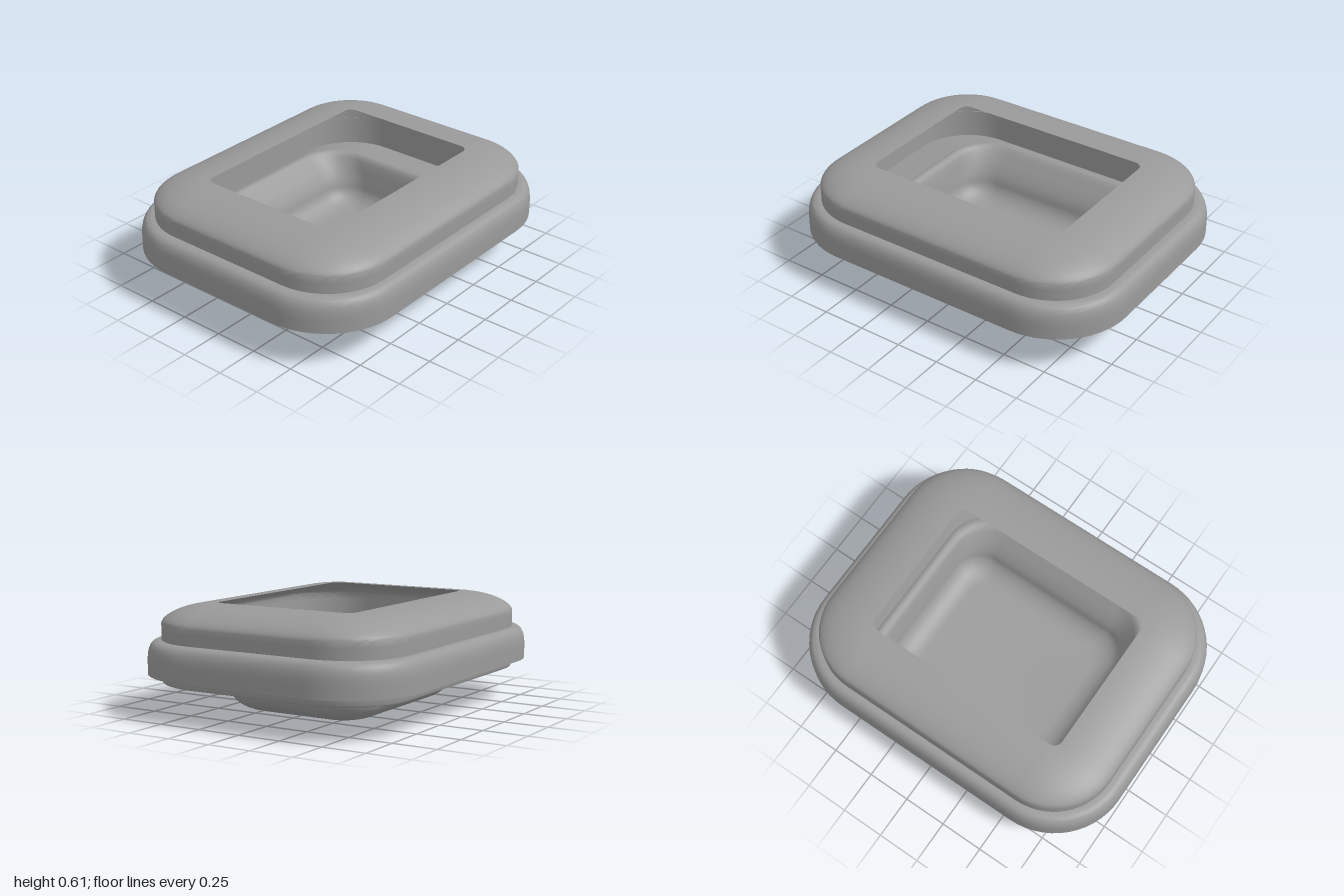
import * as THREE from 'three';
import { toCreasedNormals } from 'three/addons/utils/BufferGeometryUtils.js';

const material = new THREE.MeshStandardMaterial({ color: 0x9a9a9a, side: THREE.DoubleSide });
const CORNER = 14; // segments per rounded corner

// Rounded-rectangle ring of half sizes hx, hz and corner radius r at height y
function ring([hx, hz, r, y]) {
  const points = [];
  for (let q = 0; q < 4; q++) {
    const cx = (q === 0 || q === 3 ? 1 : -1) * (hx - r);
    const cz = (q < 2 ? 1 : -1) * (hz - r);
    for (let i = 0; i <= CORNER; i++) {
      const a = (q + i / CORNER) * Math.PI / 2;
      points.push(cx + r * Math.cos(a), y, cz + r * Math.sin(a));
    }
  }
  return points;
}

// Skin a list of rings; outer surfaces run from the bottom up
function loft(name, rings) {
  const n = 4 * (CORNER + 1), index = [];
  for (let i = 0; i < rings.length - 1; i++) {
    for (let j = 0; j < n; j++) {
      const a = i * n + j, b = i * n + (j + 1) % n;
      index.push(a, a + n, b, b, a + n, b + n);
    }
  }
  const g = new THREE.BufferGeometry();
  g.setAttribute('position', new THREE.Float32BufferAttribute(rings.flatMap(ring), 3));
  g.setIndex(index);
  const mesh = new THREE.Mesh(toCreasedNormals(g, 0.7), material);
  mesh.name = name;
  return mesh;
}

// Rings made by insetting one rounded rectangle: profile of [inset, y]
const inset = (hx, hz, r, profile) =>
  profile.map(([d, y]) => [hx - d, hz - d, Math.max(r - d, 0.01), y]);

// Rounded bowl wall from the closed floor up to its widest point
function bowl(hx, hz, r, depth, floorY, topY) {
  const rings = [[0, 0, 0, floorY]];
  for (let i = 0; i <= 10; i++) {
    const a = (i / 10) * Math.PI / 2, d = depth * (1 - Math.sin(a));
    rings.push([hx - d, hz - d, r - d * 0.6, floorY + (topY - floorY) * (1 - Math.cos(a))]);
  }
  return rings;
}

export function createModel() {
  const model = new THREE.Group();

  // Domed cover with a rectangular opening
  const dome = [[0, 0.23], [0, 0.4], [0, 0.47]];
  for (let i = 0; i <= 14; i++) {
    const a = (i / 14) * Math.PI / 2;
    dome.push([0.31 * (1 - Math.cos(a)), 0.5 + 0.105 * Math.sin(a) ** 1.2]);
  }
  model.add(loft('cover', inset(0.92, 0.74, 0.36, dome)));

  // Wide bumper band with a rounded shoulder around the cover
  const band = [[0.08, 0.226], [0, 0.226], [0, 0.26]];
  for (let i = 0; i <= 12; i++) {
    const a = (i / 12) * Math.PI / 2;
    band.push([0.08 * (1 - Math.cos(a) ** 0.6), 0.29 + 0.12 * Math.sin(a) ** 0.8]);
  }
  model.add(loft('bumperBand', inset(1, 0.81, 0.43, band)));

  // Base plate with the basin pressed into it
  model.add(loft('basePlate', [
    ...bowl(0.575, 0.46, 0.2, 0.175, 0, 0.125),
    [0.585, 0.47, 0.21, 0.15], [0.605, 0.49, 0.22, 0.167], [0.65, 0.53, 0.25, 0.175],
    [0.905, 0.725, 0.345, 0.175], [0.915, 0.735, 0.355, 0.179],
    [0.92, 0.74, 0.36, 0.19], [0.92, 0.74, 0.36, 0.235],
  ]));

  // Inner lining of the basin, rising to a rolled lip under the cover
  model.add(loft('basinLining', [
    ...bowl(0.56, 0.445, 0.17, 0.14, 0.025, 0.14),
    [0.568, 0.46, 0.175, 0.18], [0.578, 0.5, 0.19, 0.24], [0.588, 0.545, 0.21, 0.29],
    [0.6, 0.565, 0.22, 0.315], [0.615, 0.58, 0.23, 0.322], [0.635, 0.6, 0.245, 0.322],
    [0.65, 0.615, 0.255, 0.312], [0.655, 0.62, 0.26, 0.29], [0.9, 0.72, 0.34, 0.25],
  ]));

  // Wedge-shaped tabs on both ends of the basin
  const wedge = new THREE.Shape([[0.566, 0.178], [0.57, 0.13], [0.588, 0.135], [0.625, 0.178]]
    .map(([x, y]) => new THREE.Vector2(x, y)));
  const tabGeometry = new THREE.ExtrudeGeometry(wedge, { depth: 0.13, bevelEnabled: false });
  tabGeometry.translate(0, 0, -0.065);
  for (const side of [0, 1]) {
    const tab = new THREE.Mesh(tabGeometry, material);
    tab.name = side ? 'rightTab' : 'leftTab';
    tab.rotation.y = side * Math.PI;
    model.add(tab);
  }
  return model;
}
